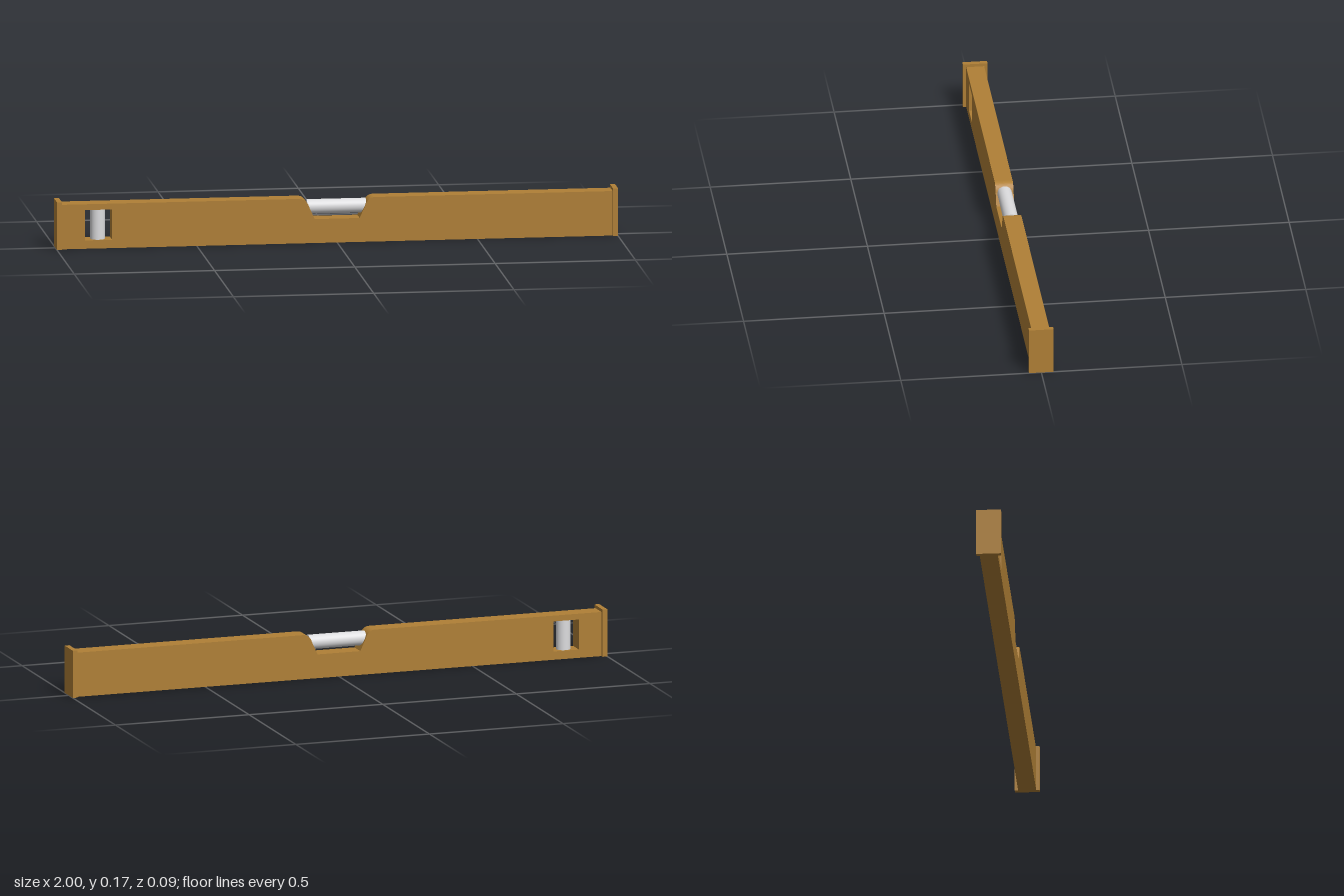
import * as THREE from 'three';

export function createModel() {
  const group = new THREE.Group();
  const wood = new THREE.MeshStandardMaterial({ color: 0xb08036 });
  wood.name = 'wood';
  const glass = new THREE.MeshStandardMaterial({ color: 0xdcdcde });
  glass.name = 'glass';

  const add = (name, geometry, material, x, y, z = 0) => {
    const mesh = new THREE.Mesh(geometry, material);
    mesh.name = name;
    mesh.position.set(x, y, z);
    group.add(mesh);
    return mesh;
  };

  // Bar outline with a rounded-shoulder notch in the middle of the top
  const end = 0.983, top = 0.16, depth = 0.064;
  const outline = new THREE.Shape();
  outline.moveTo(-end, 0);
  outline.lineTo(end, 0);
  outline.lineTo(end, top);
  outline.lineTo(0.135, top);
  outline.bezierCurveTo(0.115, top, 0.105, 0.146, 0.1, 0.13);
  outline.lineTo(0.08, 0.086);
  outline.lineTo(-0.08, 0.086);
  outline.lineTo(-0.1, 0.13);
  outline.bezierCurveTo(-0.105, 0.146, -0.115, top, -0.135, top);
  outline.lineTo(-end, top);
  outline.closePath();

  // Rectangular window for the upright vial
  const hole = new THREE.Path();
  hole.moveTo(-0.898, 0.03);
  hole.lineTo(-0.898, 0.139);
  hole.lineTo(-0.802, 0.139);
  hole.lineTo(-0.802, 0.03);
  hole.closePath();
  outline.holes.push(hole);

  const bar = new THREE.ExtrudeGeometry(outline, { depth, bevelEnabled: false, curveSegments: 10 });
  add('bar', bar, wood, 0, 0, -depth / 2);

  // End caps, slightly larger than the bar section
  for (const side of [-1, 1]) {
    add(side > 0 ? 'leftEndCap' : 'rightEndCap', new THREE.BoxGeometry(0.018, 0.171, 0.088), wood, side * 0.991, 0.0855);
  }

  // Level vial in the notch and plumb vial in the window
  add('levelVial', new THREE.CylinderGeometry(0.026, 0.026, 0.21, 32), glass, 0, 0.126).rotation.z = Math.PI / 2;
  add('plumbVial', new THREE.CylinderGeometry(0.026, 0.026, 0.113, 32), glass, -0.85, 0.0845);

  return group;
}
